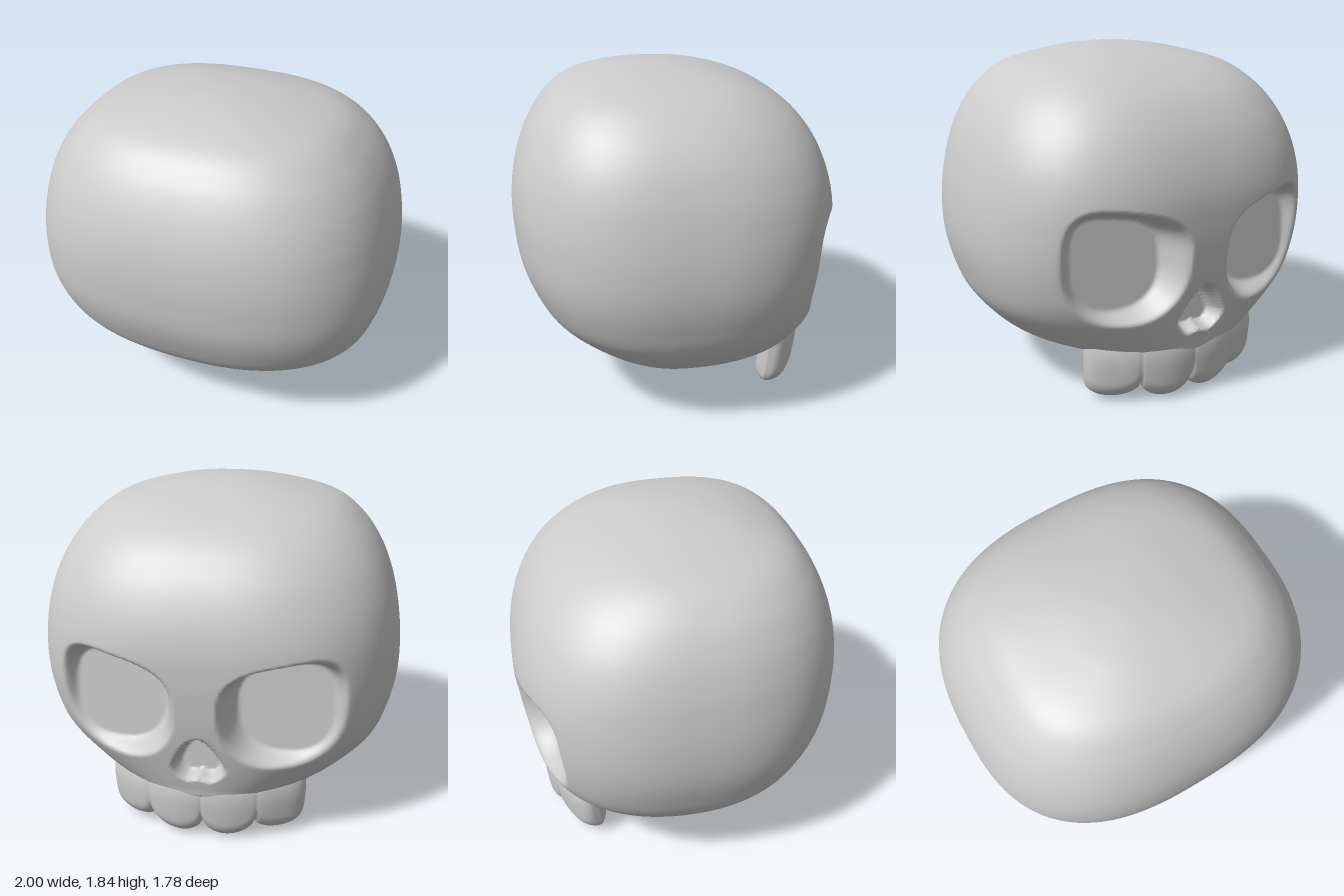
import * as THREE from 'three';

const material = new THREE.MeshStandardMaterial({ color: 0xcccccc, side: THREE.DoubleSide });
const { smoothstep, lerp } = THREE.MathUtils;

// Cranium sections from bottom to top: [height, half width, face z, back z]
const SECTIONS = [
  [0.23, 0, 0, 0], [0.234, 0.3, -0.45, 0.14], [0.241, 0.46, -0.68, 0.24],
  [0.268, 0.6, -0.765, 0.36], [0.33, 0.755, -0.785, 0.54],
  [0.49, 0.9, -0.82, 0.715], [0.65, 0.962, -0.852, 0.805], [0.81, 0.995, -0.875, 0.862],
  [0.98, 0.998, -0.888, 0.885], [1.15, 0.977, -0.883, 0.888], [1.32, 0.935, -0.84, 0.863],
  [1.48, 0.865, -0.76, 0.805], [1.62, 0.76, -0.635, 0.72], [1.73, 0.61, -0.45, 0.6],
  [1.805, 0.34, -0.22, 0.4], [1.836, 0.13, -0.02, 0.22], [1.843, 0, 0.1, 0.1],
];

// Eye outline: 1 on the rim, round below, with a straighter brow dropping towards the nose
function eyeRadius(x, y) {
  const u = (Math.abs(x) - 0.435) / 0.295;
  const upper = y > 0.8;
  const v = (y - 0.8) / (upper ? 0.27 + 0.05 * u : 0.29);
  const power = upper ? 3.2 : 2.3;
  return Math.pow(Math.abs(u) ** power + Math.abs(v) ** power, 1 / power);
}

// Nose outline: pointed at the top, notched at the bottom centre
function noseRadius(x, y) {
  const ax = Math.abs(x);
  const v = y - 0.475;
  const height = v > 0 ? 0.17 : 0.07 + 0.4 * Math.min(ax, 0.07);
  const width = v > 0 ? 0.13 - 0.3 * v : 0.13;
  return Math.hypot(ax / width, v / height);
}

// Press the sockets into the face
function faceDepth(x, y, z) {
  if (z > -0.4) return z;
  const eye = 1 - smoothstep(eyeRadius(x, y), 0.83, 1.1);
  const nose = 1 - smoothstep(noseRadius(x, y), 0.82, 1.12);
  const eyeFloor = -0.69 + 0.08 * (Math.abs(x) - 0.15) + 0.06 * (y - 0.8);
  return Math.max(lerp(z, Math.max(z, eyeFloor), eye), lerp(z, -0.71, nose));
}

// Skin a grid of points; loops closed across each row
function skin(positions, rows, columns) {
  const index = [];
  for (let j = 0; j < rows; j++) {
    for (let i = 0; i < columns; i++) {
      const p = j * columns + i;
      const q = j * columns + ((i + 1) % columns);
      index.push(p, p + columns, q, q, p + columns, q + columns);
    }
  }
  const geometry = new THREE.BufferGeometry();
  geometry.setAttribute('position', new THREE.Float32BufferAttribute(positions, 3));
  geometry.setIndex(index);
  geometry.computeVertexNormals();
  return geometry;
}

// Cranium: rounded-square loops stacked along the height, denser at the face
function craniumGeometry(rings = 240, segments = 260) {
  const columns = [0, 1, 2, 3].map(
    (k) => new THREE.SplineCurve(SECTIONS.map((s, i) => new THREE.Vector2(i, s[k])))
  );
  const positions = [];
  for (let j = 0; j <= rings; j++) {
    const [y, width, front, back] = columns.map((c) => c.getPoint(j / rings).y);
    const centre = 0.1 * smoothstep(y, 1.2, 1.84);
    const power = 2 / lerp(2.1, 2.6, smoothstep(y, 0.25, 0.65));
    for (let i = 0; i < segments; i++) {
      const turn = (i / segments) * Math.PI * 2;
      const a = turn - 0.5 * Math.sin(turn);
      const s = Math.sin(a);
      const c = Math.cos(a);
      const x = width * Math.sign(s) * Math.abs(s) ** power;
      const reach = c > 0 ? front - centre : back - centre;
      const z = centre + reach * Math.abs(c) ** power;
      positions.push(x, y, faceDepth(x, y, z));
    }
  }
  return skin(positions, rings, segments);
}

// Upper jaw: a rounded strip swept along the arch, swelling into four teeth
function upperJawGeometry(steps = 128, segments = 32) {
  const arch = new THREE.CatmullRomCurve3(
    [[-0.53, -0.5], [-0.41, -0.575], [-0.27, -0.65], [-0.13, -0.69], [0, -0.695],
      [0.13, -0.69], [0.27, -0.65], [0.41, -0.575], [0.53, -0.5]]
      .map(([x, z]) => new THREE.Vector3(x, 0, z))
  );
  const positions = [];
  for (let j = 0; j <= steps; j++) {
    const t = j / steps;
    const point = arch.getPoint(t);
    const tangent = arch.getTangent(t);
    const across = ((t * 4) % 1) * 2 - 1;
    const bulge = Math.sqrt(1 - across ** 2);
    const endRound = Math.sqrt(1 - Math.abs(2 * t - 1) ** 14);
    const thick = lerp(0.074, 0.088, bulge) * endRound;
    const bottom = lerp(0.1, Math.abs(t - 0.5) < 0.25 ? 0.003 : 0.02, bulge);
    for (let i = 0; i < segments; i++) {
      const a = (i / segments) * Math.PI * 2;
      const rise = Math.sin(a);
      const c = Math.cos(a);
      // Elliptical underside, straighter walls running up into the face
      const side = thick * (rise < 0 ? c : Math.sign(c) * Math.abs(c) ** 0.4);
      const y = bottom + 0.1 + rise * (rise < 0 ? 0.1 : 0.27 - bottom);
      const out = side + 0.12 * (Math.min(y, 0.25) - 0.22);
      positions.push(point.x + tangent.z * out, y, point.z - tangent.x * out);
    }
  }
  return skin(positions, steps, segments);
}

function addMesh(parent, name, geometry) {
  const mesh = new THREE.Mesh(geometry, material);
  mesh.name = name;
  parent.add(mesh);
}

export function createModel() {
  const skull = new THREE.Group();
  skull.name = 'skull';
  addMesh(skull, 'cranium', craniumGeometry());
  addMesh(skull, 'upperJawWithTeeth', upperJawGeometry());
  return skull;
}
